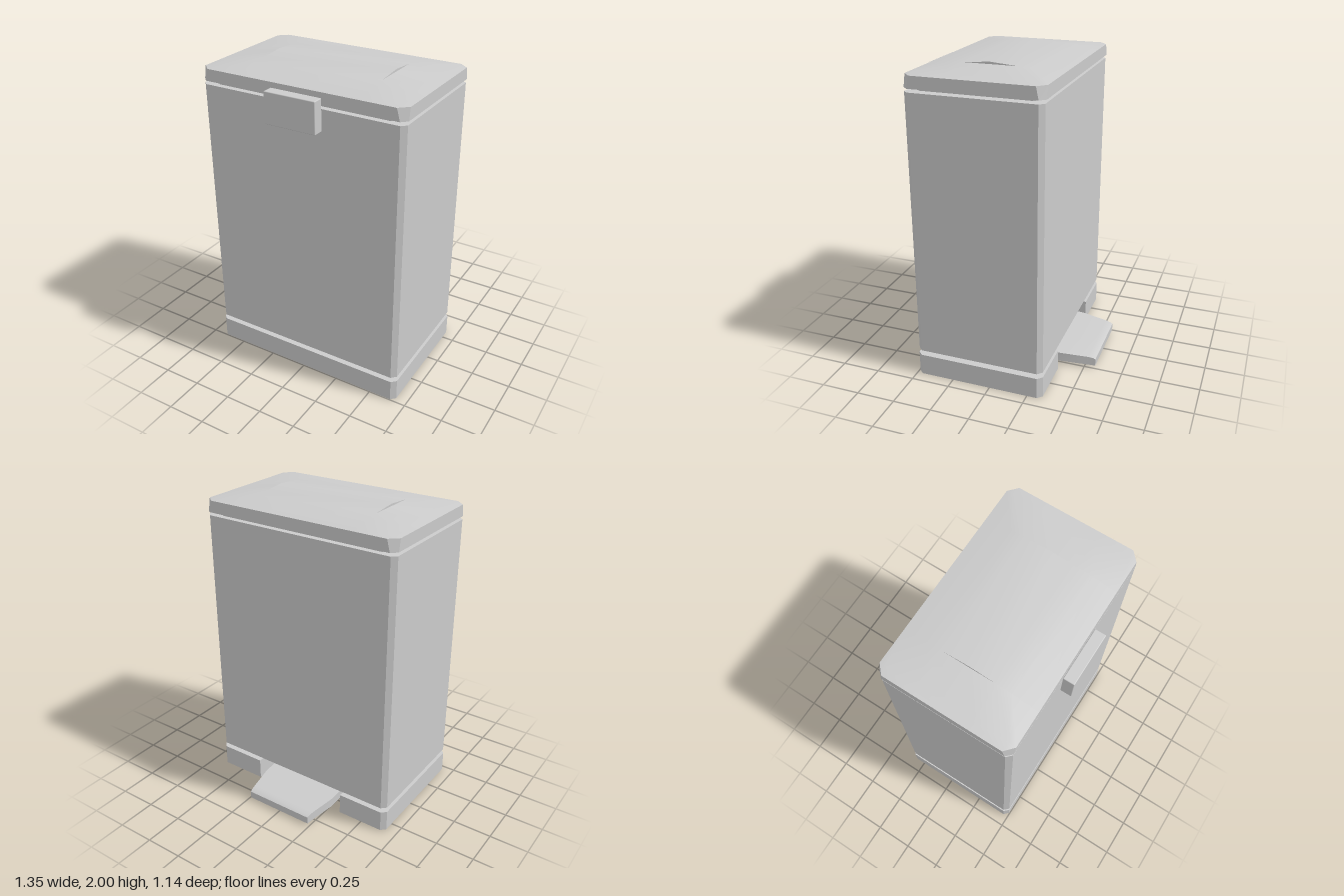
import * as THREE from 'three';
import { toCreasedNormals } from 'three/addons/utils/BufferGeometryUtils.js';
import { RoundedBoxGeometry } from 'three/addons/geometries/RoundedBoxGeometry.js';

const material = new THREE.MeshStandardMaterial({ color: 0xcccccc });
const FRONT = 0.495, BACK = -0.345;

function addMesh(group, name, geometry) {
  const mesh = new THREE.Mesh(geometry, material);
  mesh.name = name;
  group.add(mesh);
  return mesh;
}

// Extrudes a plan outline given as [x, z] points between two heights
function slab(points, y0, y1) {
  const shape = new THREE.Shape(points.map(([x, z]) => new THREE.Vector2(x, z)));
  return new THREE.ExtrudeGeometry(shape, { depth: y1 - y0, bevelEnabled: false })
    .rotateX(Math.PI / 2).translate(0, y1, 0);
}

// Rectangle with cut corners, starting and ending on the back edge
function cutRectangle(hx, z0, z1, c) {
  return [[hx - c, z0], [hx, z0 + c], [hx, z1 - c], [hx - c, z1],
    [-hx + c, z1], [-hx, z1 - c], [-hx, z0 + c], [-hx + c, z0]];
}

// Skins closed cross-sections of equal length and caps both ends
function loft(sections, crease) {
  const pos = [];
  const tri = (a, b, c) => {
    const t = new THREE.Triangle(...[a, b, c].map((p) => new THREE.Vector3(...p)));
    if (t.getArea() > 1e-8) pos.push(...a, ...b, ...c);
  };
  const n = sections[0].length;
  for (let i = 0; i < sections.length - 1; i++) {
    for (let j = 0; j < n; j++) {
      const k = (j + 1) % n;
      const a = sections[i][j], b = sections[i][k], c = sections[i + 1][k], d = sections[i + 1][j];
      tri(a, d, c);
      tri(a, c, b);
    }
  }
  const first = sections[0], last = sections[sections.length - 1];
  for (let j = 1; j < n - 1; j++) {
    tri(first[0], first[j], first[j + 1]);
    tri(last[0], last[j + 1], last[j]);
  }
  const geometry = new THREE.BufferGeometry();
  geometry.setAttribute('position', new THREE.Float32BufferAttribute(pos, 3));
  geometry.computeVertexNormals();
  return toCreasedNormals(geometry, crease);
}

// Domed lid: hipped ends and a raised arched crown over the middle
function lidGeometry() {
  const bottom = 1.875;
  const section = (x, zs, ys, bx, bz0, bz1) => [
    ...zs.map((z, i) => [x, ys[i], z]), [bx, bottom, bz0], [bx, bottom, bz1]];
  const vaultZ = [FRONT, 0.33, 0.24, 0.07, -0.1, -0.18, BACK - 0.005];
  const vaultY = (mid) => [1.95, 1.978, 1.986, mid, 1.986, 1.979, 1.95];
  const half = (s) => [
    section(s * 0.675, [0.445, 0.445, 0.24, 0.07, -0.1, -0.3, -0.3],
      Array(7).fill(1.95), s * 0.675, -0.315, 0.46),
    section(s * 0.62, [FRONT, 0.455, 0.24, 0.07, -0.1, -0.31, BACK - 0.005],
      [1.95, 1.957, 1.957, 1.957, 1.957, 1.957, 1.95], s * 0.64, BACK - 0.005, FRONT),
    section(s * 0.4, vaultZ, vaultY(1.986), s * 0.4, BACK - 0.005, FRONT),
    section(s * 0.4, vaultZ, vaultY(2), s * 0.4, BACK - 0.005, FRONT),
  ];
  return loft([...half(-1), ...half(1).reverse()], 0.5);
}

// Foot pedal: a sloping plate that tapers and rolls over at its outer end
function pedalGeometry() {
  const rows = [ // z, half width, bottom, top
    [-0.57, 0.235, 0.012, 0.06], [-0.555, 0.237, 0.013, 0.068], [-0.52, 0.243, 0.015, 0.074],
    [-0.345, 0.275, 0.025, 0.085], [0.3, 0.275, 0.065, 0.125]];
  return loft(rows.map(([z, h, b, t]) => [[-h, t, z], [h, t, z], [h, b, z], [-h, b, z]]), 0.6);
}

export function createModel() {
  const bin = new THREE.Group();
  bin.name = 'pedalBin';

  // Base with a channel open at the back for the pedal
  const channel = [[-0.335, BACK], [-0.335, 0.36], [0.335, 0.36], [0.335, BACK]];
  addMesh(bin, 'base', slab([...cutRectangle(0.675, BACK, FRONT, 0.03), ...channel], 0, 0.14));

  // Inner liner shows in the gaps above and below the body
  addMesh(bin, 'liner', slab(cutRectangle(0.61, -0.305, 0.455, 0.04), 0.135, 1.88));
  addMesh(bin, 'body', slab(cutRectangle(0.672, BACK + 0.002, FRONT - 0.002, 0.03), 0.172, 1.853));

  addMesh(bin, 'lid', lidGeometry());
  addMesh(bin, 'pedal', pedalGeometry());

  // Block on the front of the lid
  const block = addMesh(bin, 'frontBlock', new RoundedBoxGeometry(0.336, 0.196, 0.07, 2, 0.005));
  block.position.set(0, 1.822, 0.535);

  return bin;
}
